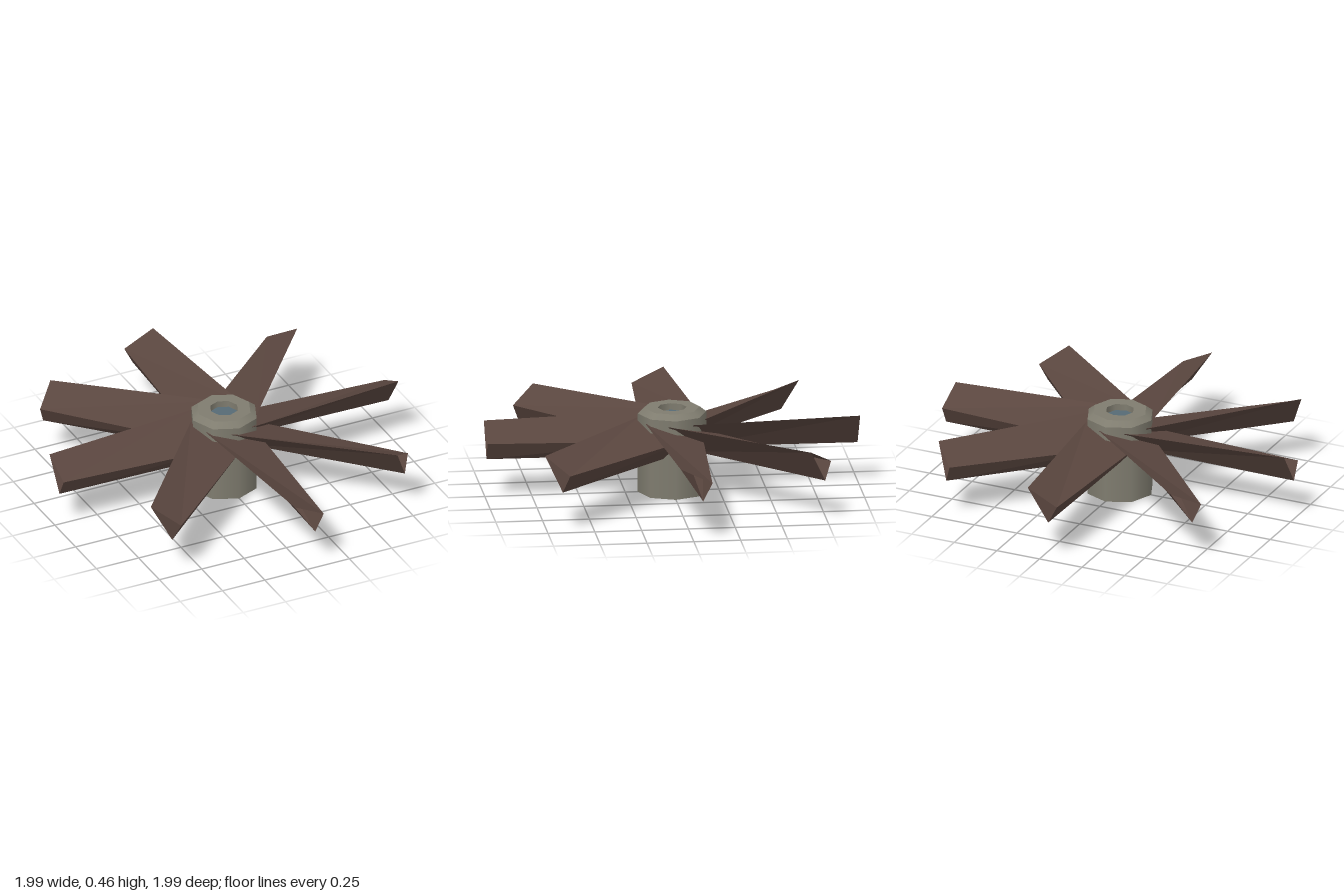
import * as THREE from 'three';

const bladeBrown = new THREE.MeshStandardMaterial({ color: 0x5a463f, side: THREE.DoubleSide });
bladeBrown.name = 'bladeBrown';
const hubGrey = new THREE.MeshStandardMaterial({ color: 0x7f7c6f });
hubGrey.name = 'hubGrey';
const socketBlue = new THREE.MeshStandardMaterial({ color: 0x566a74 });
socketBlue.name = 'socketBlue';

function mesh(name, geometry, material) {
  const m = new THREE.Mesh(geometry, material);
  m.name = name;
  return m;
}

// Hollow, tapered three-sided blade along +z, open at both ends
function bladeGeometry() {
  const root = [[-0.153, 0.4], [0.153, 0.317], [0.065, 0.22]].map(([x, y]) => [x, y, 0.095]);
  const tip = [[-0.07, 0.4], [0.1, 0.317], [0.05, 0.22]].map(([x, y]) => [x, y, 0.997]);
  const positions = [];
  for (let i = 0; i < 3; i++) {
    const j = (i + 1) % 3;
    for (const p of [root[i], tip[i], tip[j], root[i], tip[j], root[j]]) positions.push(...p);
  }
  const geometry = new THREE.BufferGeometry();
  geometry.setAttribute('position', new THREE.Float32BufferAttribute(positions, 3));
  geometry.computeVertexNormals();
  return geometry;
}

export function createModel() {
  const model = new THREE.Group();
  model.name = 'fan';

  // Eight-sided hub: one band per profile segment keeps the rims sharp
  const hub = new THREE.Group();
  hub.name = 'hub';
  const profile = [[0, 0], [0.183, 0], [0.183, 0.432], [0.148, 0.46], [0.077, 0.46], [0.077, 0.425]]
    .map(([r, y]) => new THREE.Vector2(r, y));
  const names = ['hubBase', 'hubSide', 'hubChamfer', 'hubTop', 'socketWall'];
  names.forEach((name, i) => {
    hub.add(mesh(name, new THREE.LatheGeometry([profile[i], profile[i + 1]], 8), hubGrey));
  });

  // Floor of the central socket
  const floor = mesh('socketFloor', new THREE.CircleGeometry(0.077, 8), socketBlue);
  floor.rotation.x = -Math.PI / 2;
  floor.position.y = 0.425;
  hub.add(floor);
  model.add(hub);

  // Ring of eight blades
  const blades = new THREE.Group();
  blades.name = 'blades';
  const geometry = bladeGeometry();
  for (let i = 0; i < 8; i++) {
    const blade = mesh('blade', geometry, bladeBrown);
    blade.rotation.y = (i * Math.PI) / 4;
    blades.add(blade);
  }
  model.add(blades);
  return model;
}
